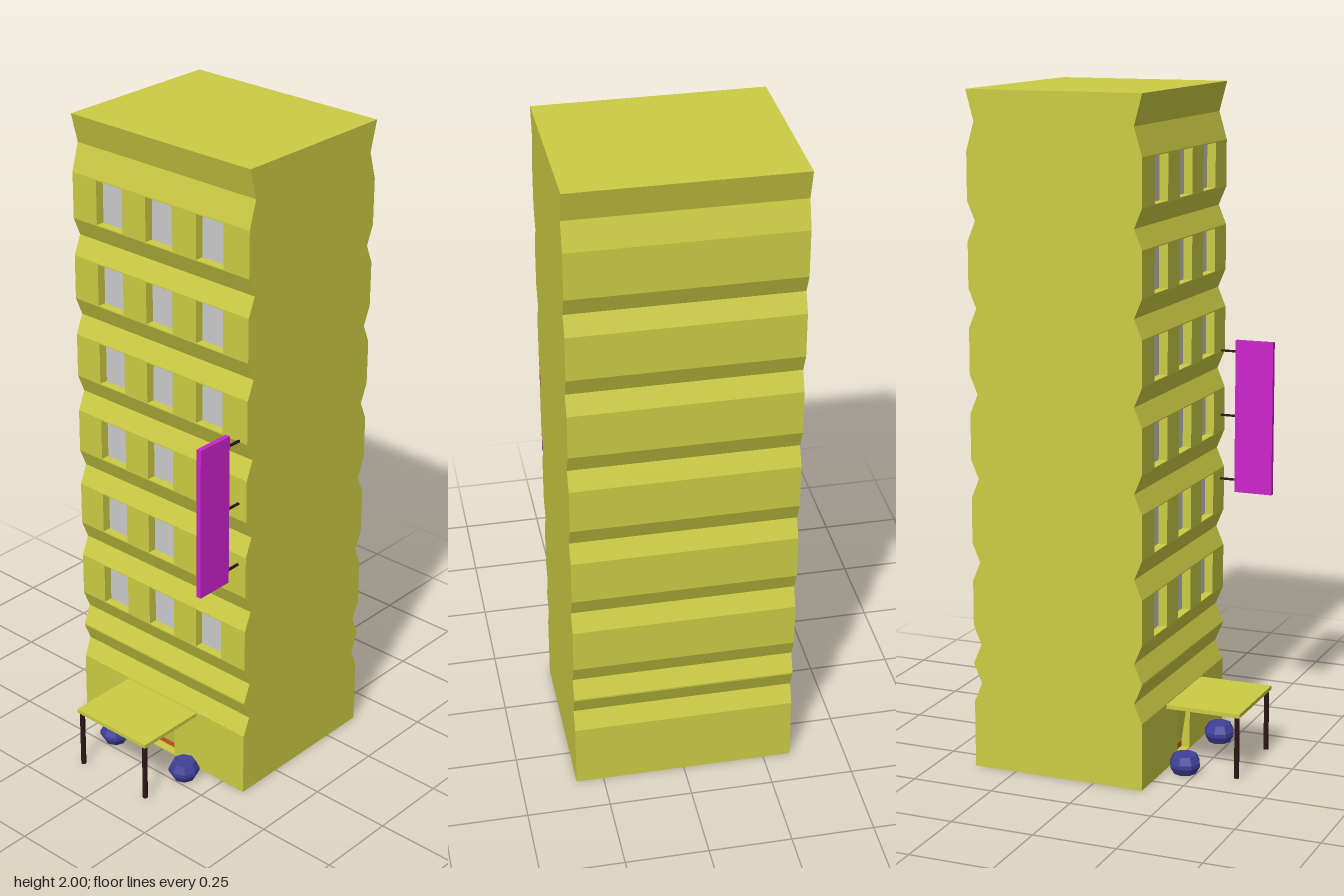
import * as THREE from 'three';

const mat = (color) => new THREE.MeshStandardMaterial({ color, flatShading: true });
const wallMat = mat(0xcccc44), glassMat = mat(0xcccccc), doorMat = mat(0xcc5528);
const signMat = mat(0xcc22cc), bushMat = mat(0x40409a), darkMat = mat(0x2c1616);

const HALF_W = 0.333, FRONT = 0.153, BACK = -0.382, PINCH = 0.024, REVEAL = 0.03;

export function createModel() {
  const model = new THREE.Group();
  const add = (name, geometry, material, x = 0, y = 0, z = 0, parent = model) => {
    const mesh = new THREE.Mesh(geometry, material);
    mesh.name = name;
    mesh.position.set(x, y, z);
    parent.add(mesh);
    return mesh;
  };
  const box = (w, h, d) => new THREE.BoxGeometry(w, h, d);

  // Storeys: each grooved at its pinch line, flat between the slopes
  const grooves = [0.26, 0.38, 0.63, 0.88, 1.13, 1.38, 1.63, 1.91];
  const side = [[0, 0]]; // [inset, y] from the ground up
  const bands = [[0, 0.2]]; // flat stretches carrying openings
  grooves.forEach((y, i) => {
    const below = i === grooves.length - 1 ? 0.083 : 0.058;
    side.push([0, y - below], [PINCH, y]);
    if (i < grooves.length - 1) side.push([0, y + 0.057]);
    if (i > 0 && i < grooves.length - 1) {
      const next = grooves[i + 1];
      bands.push([y + 0.057, next - (i === grooves.length - 2 ? 0.083 : 0.058)]);
    }
  });
  side.push([0, 2]);

  // Core: side profile swept across the width, with the front bands set back
  const profile = [];
  side.forEach(([inset, y]) => {
    const band = bands.find(([a, b]) => Math.abs(a - y) < 1e-6 || Math.abs(b - y) < 1e-6);
    if (!band) return profile.push([FRONT - inset, y]);
    const setBack = [FRONT - REVEAL, y];
    const edge = [FRONT, y];
    if (Math.abs(band[0] - y) < 1e-6) profile.push(edge, setBack);
    else profile.push(setBack, edge);
  });
  [...side].reverse().forEach(([inset, y]) => profile.push([BACK + inset, y]));
  const coreShape = new THREE.Shape(profile.map(([z, y]) => new THREE.Vector2(-z, y)));
  const core = new THREE.ExtrudeGeometry(coreShape, { depth: HALF_W * 2, bevelEnabled: false });
  core.translate(0, 0, -HALF_W).rotateY(Math.PI / 2);
  add('buildingCore', core, wallMat);

  // Front bands with openings cut through, and the panes behind them
  const rectangle = (Kind, x0, x1, y0, y1) => {
    const path = new Kind();
    path.moveTo(x0, y0).lineTo(x1, y0).lineTo(x1, y1).lineTo(x0, y1).closePath();
    return path;
  };
  bands.forEach(([y0, y1], floor) => {
    const wall = rectangle(THREE.Shape, -HALF_W, HALF_W, y0, y1);
    const top = floor ? y1 - 0.003 : 0.18;
    const bottom = y0 + 0.003;
    const h = top - bottom;
    (floor ? [-0.19, 0, 0.19] : [0]).forEach((x) => {
      wall.holes.push(rectangle(THREE.Path, x - 0.05, x + 0.05, bottom, top));
      add(floor ? 'window' : 'door', box(0.1, h, 0.004), floor ? glassMat : doorMat,
        x, bottom + h / 2, FRONT - REVEAL + 0.001);
    });
    add('frontWall', new THREE.ExtrudeGeometry(wall, { depth: REVEAL, bevelEnabled: false }),
      wallMat, 0, 0, FRONT - REVEAL);
  });

  // Entrance canopy on two posts
  add('canopy', box(0.284, 0.012, 0.229), wallMat, 0, 0.194, 0.2675);
  const bushProfile = [[0, 0], [0.034, 0], [0.047, 0.022], [0.047, 0.034], [0.036, 0.057], [0, 0.057]]
    .map(([r, y]) => new THREE.Vector2(r, y));
  for (const s of [-1, 1]) {
    add('canopyPost', new THREE.CylinderGeometry(0.008, 0.008, 0.188, 8), darkMat, s * 0.131, 0.094, 0.371);
    // Round faceted bush beside the entrance
    add('bush', new THREE.LatheGeometry(bushProfile, 8), bushMat, s * 0.146, 0, 0.214);
  }

  // Projecting sign with three brackets
  const sign = new THREE.Group();
  sign.name = 'sign';
  model.add(sign);
  add('signBoard', box(0.015, 0.472, 0.12), signMat, 0.303, 0.989, 0.261, sign);
  for (const y of [0.79, 0.99, 1.19]) {
    add('signBracket', box(0.006, 0.006, 0.085), darkMat, 0.303, y, 0.165, sign);
  }
  return model;
}
